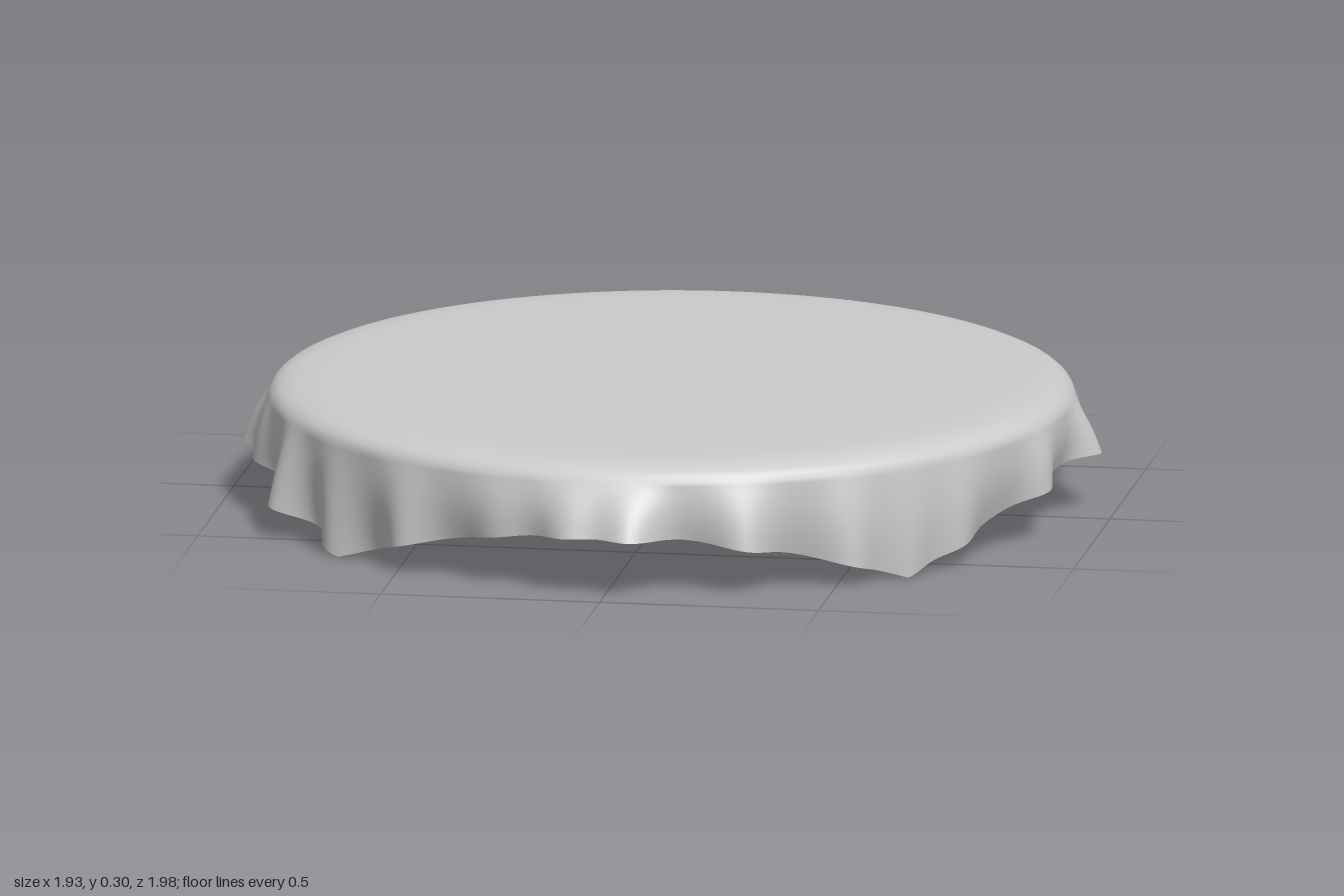
import * as THREE from 'three';

// Folds around the hem: [angle in degrees from +x towards +z, hem radius]
const FOLDS = [
  [-5, 0.97], [-13, 0.93], [-25, 0.95], [-38, 0.925], [-52, 0.935], [-67, 0.905],
  [-81, 0.975], [-93.5, 1.0], [-108, 0.93], [-130, 0.92], [-138, 0.93],
  [-162, 0.97], [-174, 0.96], [175, 0.97], [166, 0.945], [150, 0.97],
  [137, 0.935], [122, 0.935], [106, 0.92], [95, 0.96], [86.5, 0.985],
  [70.5, 0.955], [54.5, 0.935], [44.5, 0.915], [35, 0.92], [15, 0.935],
];

// Rounded rim of the covered round top: [radius, height]
const RIM = [[0.3, 0.3], [0.6, 0.3], [0.76, 0.299], [0.81, 0.297], [0.845, 0.293],
  [0.87, 0.287], [0.888, 0.279], [0.9, 0.269], [0.907, 0.257]];

const SEGMENTS = 480;
const SKIRT_ROWS = 18;

// 0 in the middle of each side of the square cloth, 1 at its corners
function cornerness(deg) {
  const a = ((deg % 90) + 90) % 90;
  return Math.min(a, 90 - a) / 45;
}

function hemRadius(deg) {
  const base = 0.898 - 0.025 * cornerness(deg);
  let r = base;
  for (const [angle, peak] of FOLDS) {
    const d = ((deg - angle + 540) % 360) - 180;
    r += (peak - base) * Math.exp(-((d / 4.5) ** 2));
  }
  return r;
}

function hemHeight(deg) {
  return 0.135 * (1 - Math.pow(cornerness(deg), 1.8));
}

// Point of the cloth on a given ring and angle
function clothPoint(row, deg) {
  if (row < RIM.length) return RIM[row];
  const [r0, y0] = RIM[RIM.length - 1];
  const t = (row - RIM.length + 1) / SKIRT_ROWS;
  const r = r0 + (hemRadius(deg) - r0) * Math.pow(t, 1.1) + 0.008 * Math.sin(Math.PI * t);
  return [r, y0 + (hemHeight(deg) - y0) * t];
}

function clothGeometry() {
  const rows = RIM.length + SKIRT_ROWS;
  const positions = [0, 0.3, 0];
  const index = [];
  for (let j = 0; j < rows; j++) {
    for (let i = 0; i < SEGMENTS; i++) {
      const deg = (i / SEGMENTS) * 360;
      const a = THREE.MathUtils.degToRad(deg);
      const [r, y] = clothPoint(j, deg);
      positions.push(r * Math.cos(a), y, r * Math.sin(a));
    }
  }
  const id = (j, i) => 1 + j * SEGMENTS + (i % SEGMENTS);
  for (let i = 0; i < SEGMENTS; i++) {
    index.push(0, id(0, i + 1), id(0, i));
    for (let j = 0; j < rows - 1; j++) {
      const a = id(j, i), b = id(j, i + 1), c = id(j + 1, i), d = id(j + 1, i + 1);
      index.push(a, b, c, b, d, c);
    }
  }
  const geometry = new THREE.BufferGeometry();
  geometry.setAttribute('position', new THREE.Float32BufferAttribute(positions, 3));
  geometry.setIndex(index);
  geometry.computeVertexNormals();
  return geometry;
}

export function createModel() {
  const group = new THREE.Group();
  group.name = 'drapedTablecloth';
  // One thin open sheet: flat top, rounded rim and folded skirt
  const cloth = new THREE.Mesh(
    clothGeometry(),
    new THREE.MeshStandardMaterial({ color: 0xcccccc, side: THREE.DoubleSide }),
  );
  cloth.name = 'tablecloth';
  group.add(cloth);
  return group;
}
